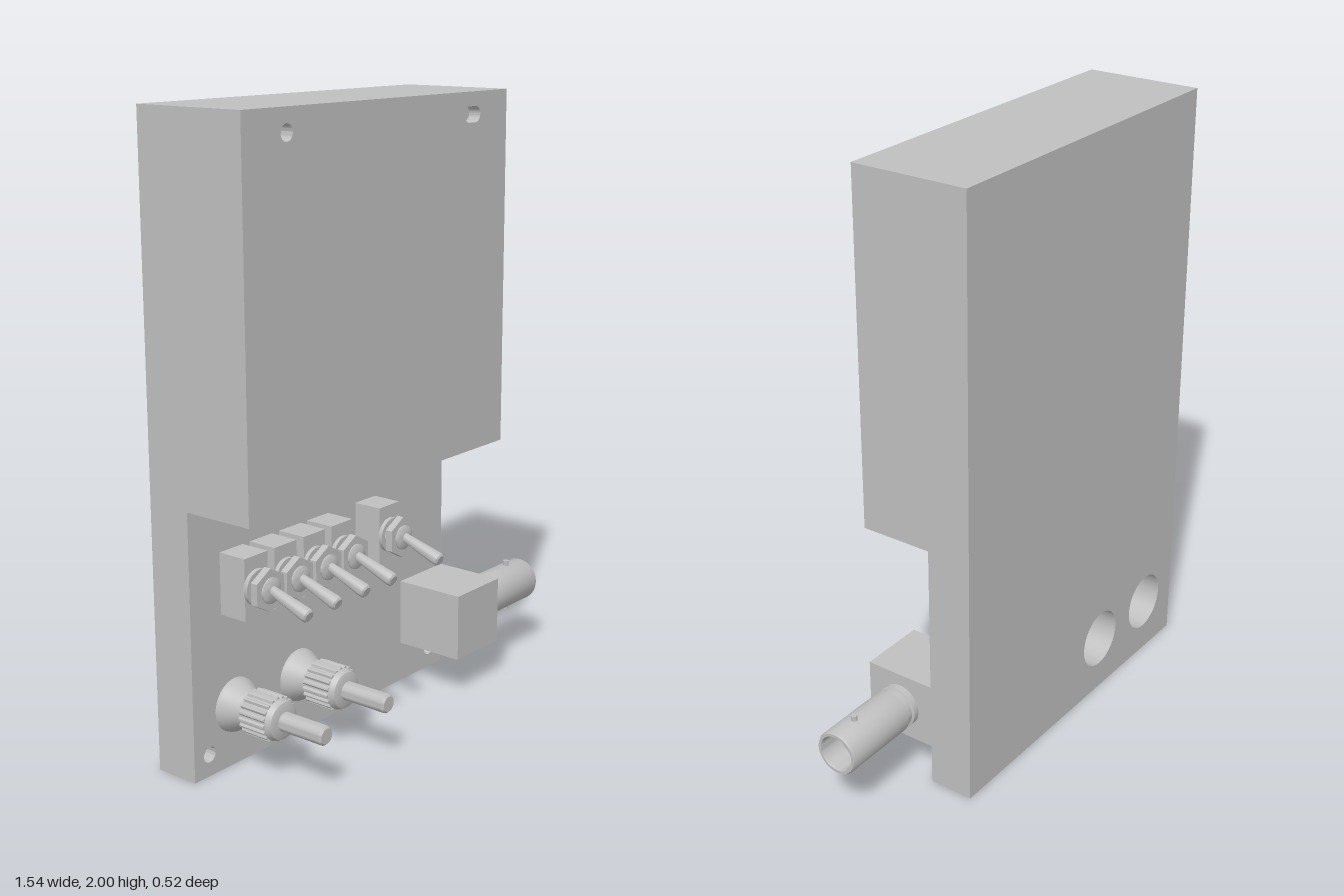
import * as THREE from 'three';
import { toCreasedNormals } from 'three/addons/utils/BufferGeometryUtils.js';

const grey = new THREE.MeshStandardMaterial({ color: 0xbfbfbf });
grey.name = 'plain grey';

const LEFT = -0.77, RIGHT = 0.453, BACK = -0.26, SLAB = -0.11, FRONT = 0.133, STEP = 0.85, TOP = 2;

function add(parent, name, geometry, x = 0, y = 0, z = 0) {
  const mesh = new THREE.Mesh(geometry, grey);
  mesh.name = name;
  mesh.position.set(x, y, z);
  parent.add(mesh);
  return mesh;
}

// Turned part: profile pairs are [radius, distance along the axis]
function turned(profile, axis, segments = 32) {
  const points = profile.map(([r, d]) => new THREE.Vector2(r, d));
  const g = toCreasedNormals(new THREE.LatheGeometry(points, segments), 0.6);
  return axis === 'x' ? g.rotateZ(-Math.PI / 2) : g.rotateX(Math.PI / 2);
}

// Oblong hole; half = 0 gives a round one
function hole(x, y, r, half = 0) {
  const p = new THREE.Path();
  p.absarc(x + half, y, r, -Math.PI / 2, Math.PI / 2, false);
  p.absarc(x - half, y, r, Math.PI / 2, Math.PI * 1.5, false);
  return p;
}

// One layer of the case between two depths, with holes cut through it
function layer(parent, name, y0, y1, z0, z1, holes) {
  const s = new THREE.Shape();
  s.moveTo(LEFT, y0).lineTo(RIGHT, y0).lineTo(RIGHT, y1).lineTo(LEFT, y1).closePath();
  s.holes.push(...holes);
  const g = new THREE.ExtrudeGeometry(s, { depth: z1 - z0, bevelEnabled: false, curveSegments: 16 });
  add(parent, name, toCreasedNormals(g, 0.6), 0, 0, z0);
}

function makeCase() {
  const group = new THREE.Group();
  group.name = 'case';
  const recesses = [-0.59, -0.3].map(x => hole(x, 0.195, 0.1));
  const screws = [-0.705, 0.385].map(x => hole(x, 0.07, 0.025));
  layer(group, 'backLayer', 0, TOP, BACK, -0.15, recesses);
  layer(group, 'lowerPanel', 0, STEP, -0.15, SLAB, screws);
  layer(group, 'upperBlock', STEP, TOP, -0.15, 0.05, []);
  layer(group, 'innerMount', STEP, TOP, 0.05, 0.09, [hole(-0.59, 1.93, 0.018), hole(0.27, 1.93, 0.021)]);
  layer(group, 'upperCover', STEP, TOP, 0.09, FRONT, [hole(-0.59, 1.93, 0.025), hole(0.27, 1.93, 0.025, 0.016)]);
  return group;
}

function makeSwitch(x) {
  const group = new THREE.Group();
  group.name = 'toggleSwitch';
  group.position.set(x, 0.598, 0);
  add(group, 'switchBody', new THREE.BoxGeometry(0.1, 0.195, 0.1), 0, 0, -0.06);
  add(group, 'bushing', turned([[0.04, -0.01], [0.04, 0.052], [0.03, 0.058], [0, 0.058]], 'z', 24));
  add(group, 'washer', turned([[0, -0.01], [0.056, -0.01], [0.056, 0.004], [0, 0.004]], 'z', 24));
  const nut = new THREE.CylinderGeometry(0.068, 0.068, 0.024, 6).rotateX(Math.PI / 2);
  add(group, 'hexNut', toCreasedNormals(nut, 0.5), 0, 0, 0.035);
  // Lever leans downward and widens to a rounded tip
  const lever = add(group, 'lever',
    turned([[0.014, 0], [0.022, 0.145], [0.021, 0.155], [0.016, 0.16], [0, 0.16]], 'z', 20), 0, 0.005, 0.045);
  lever.rotation.x = 0.33;
  return group;
}

function makeBindingPost(x) {
  const group = new THREE.Group();
  group.name = 'bindingPost';
  group.position.set(x, 0.195, 0);
  add(group, 'flange', turned([[0.086, SLAB], [0.083, -0.095], [0.058, -0.05], [0.058, -0.02]], 'z'));
  // Knurled grip with alternating ridges and grooves
  const s = new THREE.Shape();
  for (let i = 0; i < 80; i++) {
    const a = i / 80 * Math.PI * 2, r = i % 4 < 2 ? 0.072 : 0.065;
    if (i) s.lineTo(r * Math.cos(a), r * Math.sin(a));
    else s.moveTo(r, 0);
  }
  s.closePath();
  add(group, 'knurledGrip', new THREE.ExtrudeGeometry(s, { depth: 0.1, bevelEnabled: false }), 0, 0, -0.03);
  add(group, 'gripNose', turned([[0.066, 0.07], [0.058, 0.088], [0.045, 0.093], [0, 0.093]], 'z'));
  add(group, 'post', turned([[0.03, 0.08], [0.03, 0.25], [0.024, 0.257], [0, 0.257]], 'z', 24));
  return group;
}

function makeConnector() {
  const group = new THREE.Group();
  group.name = 'coaxialConnector';
  add(group, 'connectorBlock', new THREE.BoxGeometry(RIGHT - 0.225, 0.223, FRONT - SLAB),
    (RIGHT + 0.225) / 2, 0.2485, (FRONT + SLAB) / 2);
  const socket = new THREE.Group();
  socket.name = 'socket';
  socket.position.set(0, 0.248, 0.012);
  group.add(socket);
  // Barrel: collar, groove, sleeve, then back down the hollow inside
  add(socket, 'barrel', turned([
    [0.072, 0.45], [0.072, 0.473], [0.064, 0.476], [0.064, 0.498], [0.072, 0.502], [0.073, 0.51],
    [0.073, 0.76], [0.069, 0.768], [0.06, 0.768], [0.057, 0.76], [0.057, 0.56], [0, 0.56]], 'x', 40));
  add(socket, 'innerSleeve', turned([[0.036, 0.56], [0.036, 0.7], [0.029, 0.7], [0.029, 0.58], [0, 0.58]], 'x', 24));
  add(socket, 'centrePin', turned([[0.009, 0.57], [0.009, 0.7], [0, 0.71]], 'x', 12));
  for (const side of [-1, 1]) {
    add(socket, 'bayonetLug', new THREE.CylinderGeometry(0.01, 0.01, 0.028, 16), 0.677, side * 0.076, 0);
  }
  return group;
}

export function createModel() {
  const model = new THREE.Group();
  model.name = 'controlBox';
  model.add(makeCase());
  for (const x of [-0.592, -0.462, -0.33, -0.2, 0.038]) model.add(makeSwitch(x));
  for (const x of [-0.59, -0.3]) model.add(makeBindingPost(x));
  model.add(makeConnector());
  return model;
}
